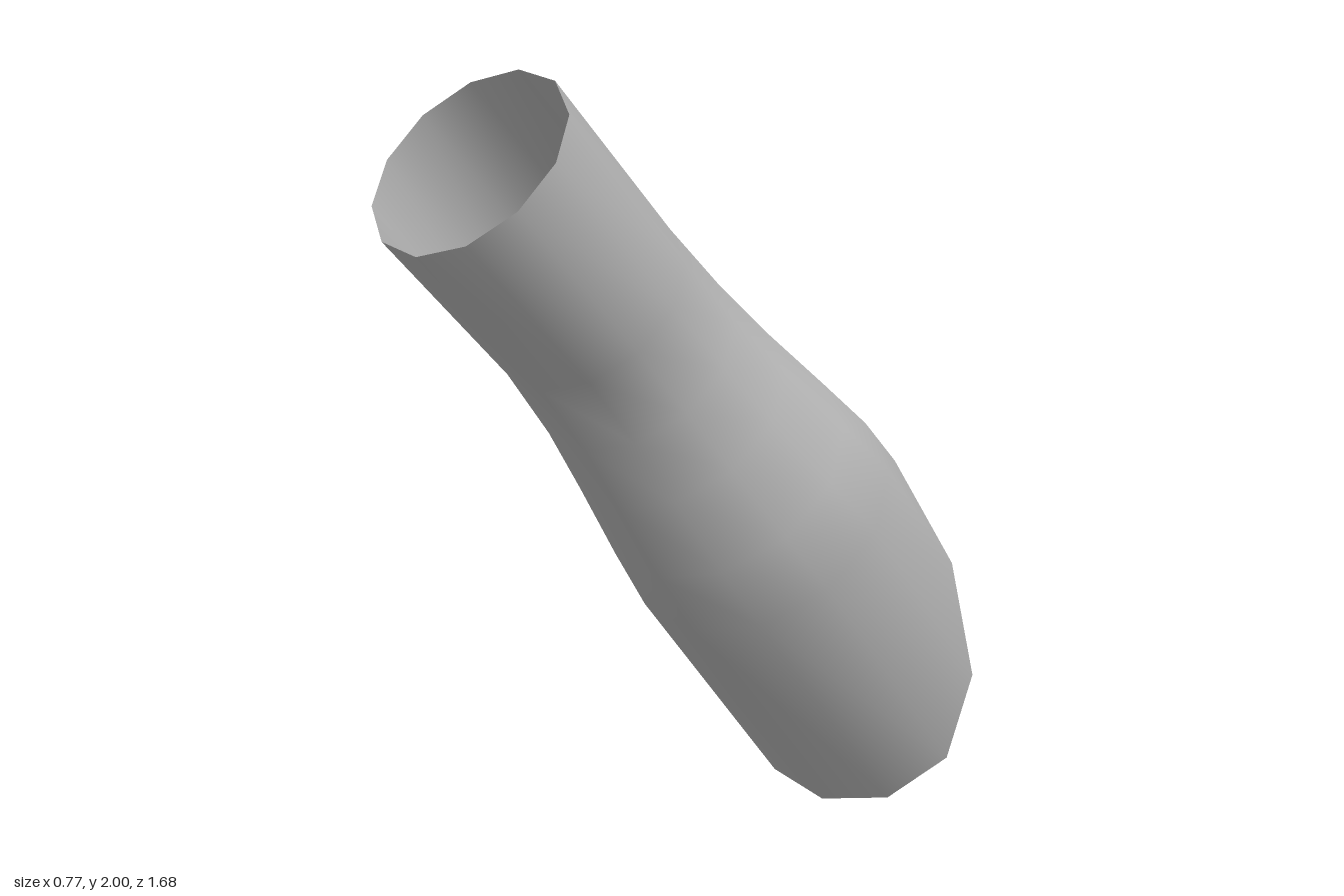
import * as THREE from 'three';

const SIDES = 12;

// Cross-sections along the pipe: centre y, centre z, radius, tilt in degrees
const SECTIONS = [
  [1.806, 0.68, 0.252, 39.4],
  [1.48, 0.295, 0.252, 41],
  [1.33, 0.13, 0.27, 43],
  [1.19, -0.02, 0.3, 44.5],
  [1.02, -0.205, 0.343, 45],
  [0.88, -0.36, 0.375, 45],
];

function ringPoint([y, z, r, tilt], angle) {
  const t = THREE.MathUtils.degToRad(tilt);
  const up = r * Math.cos(angle);
  return [r * Math.sin(angle), y + up * Math.cos(t), z - up * Math.sin(t)];
}

// The wide end is cut to a saddle-shaped rim
function rimPoint(angle) {
  const s = Math.sin(angle);
  const z = -0.69 - 0.15 * s * s;
  return [0.387 * s, z + 1.243 + 0.55 * Math.cos(angle), z];
}

function buildGeometry(positions, index) {
  const geometry = new THREE.BufferGeometry();
  geometry.setAttribute('position', new THREE.Float32BufferAttribute(positions, 3));
  geometry.setIndex(index);
  geometry.computeVertexNormals();
  return geometry;
}

export function createModel() {
  const model = new THREE.Group();
  model.name = 'flaredPipe';
  const grey = new THREE.MeshStandardMaterial({ color: 0xcccccc, side: THREE.DoubleSide });
  grey.name = 'light grey';

  const angles = Array.from({ length: SIDES }, (_, j) => (j / SIDES) * Math.PI * 2);
  const rim = angles.map(rimPoint);
  const rings = [...SECTIONS.map((s) => angles.map((a) => ringPoint(s, a))), rim];

  // Pipe wall, open at the narrow end
  const wallIndex = [];
  for (let i = 0; i < rings.length - 1; i++) {
    for (let j = 0; j < SIDES; j++) {
      const k = (j + 1) % SIDES;
      const a = i * SIDES + j, b = i * SIDES + k;
      wallIndex.push(a, b, a + SIDES, b, b + SIDES, a + SIDES);
    }
  }
  const wall = new THREE.Mesh(buildGeometry(rings.flat(2), wallIndex), grey);
  wall.name = 'pipeWall';
  model.add(wall);

  // Cap on the wide end: a fan around the middle of the rim
  const centre = [0, 1, 2].map((c) => rim.reduce((sum, p) => sum + p[c], 0) / SIDES);
  const capIndex = [];
  for (let j = 0; j < SIDES; j++) capIndex.push(0, 1 + j, 1 + ((j + 1) % SIDES));
  const capGeometry = buildGeometry([...centre, ...rim.flat()], capIndex);
  // Even shading: every cap normal follows the pipe's axis
  const normals = capGeometry.attributes.normal;
  for (let i = 0; i < normals.count; i++) normals.setXYZ(i, 0, -Math.SQRT1_2, -Math.SQRT1_2);
  const cap = new THREE.Mesh(capGeometry, grey);
  cap.name = 'endCap';
  model.add(cap);

  return model;
}
